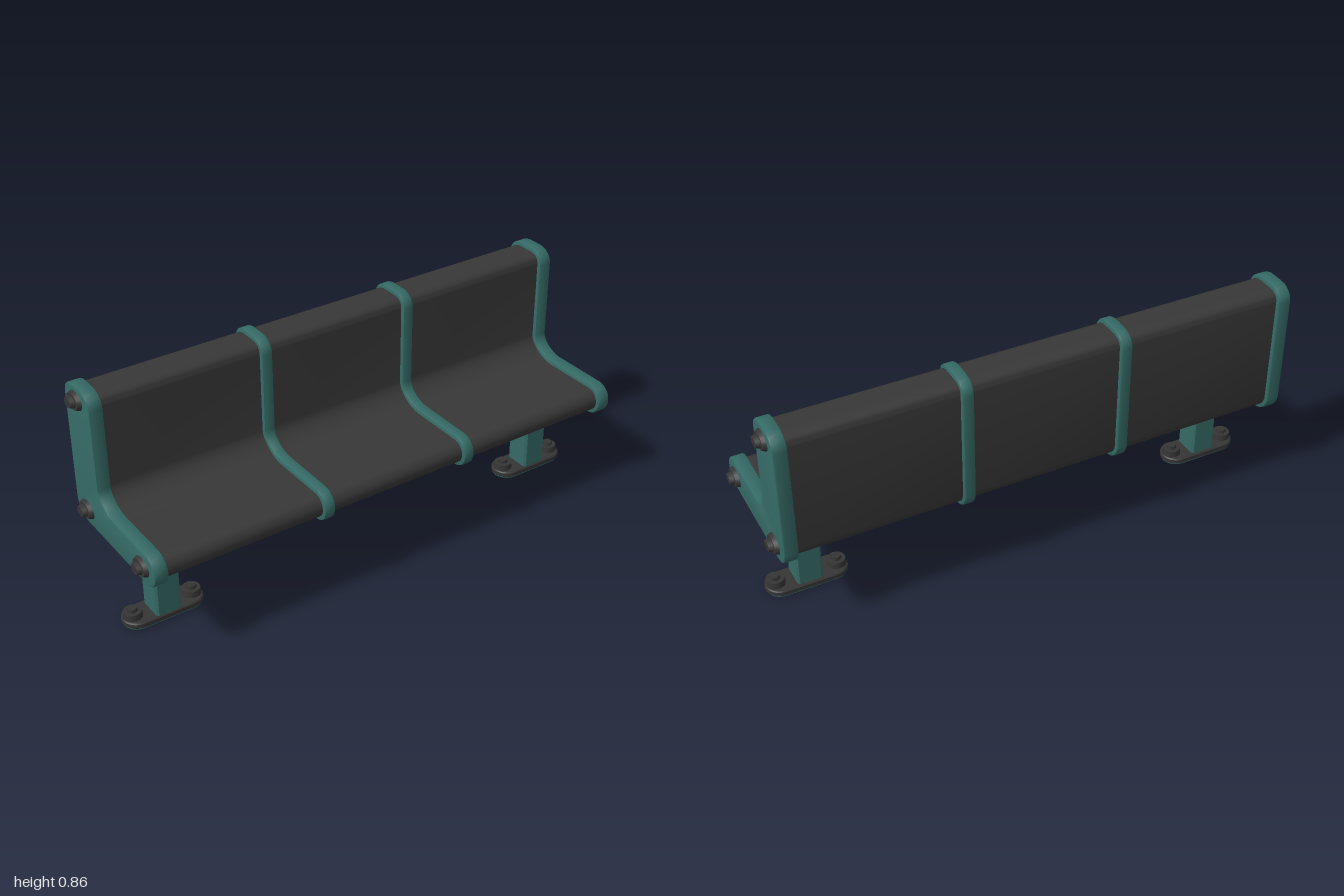
import * as THREE from 'three';
import { toCreasedNormals } from 'three/addons/utils/BufferGeometryUtils.js';

const teal = new THREE.MeshStandardMaterial({ name: 'teal paint', color: 0x356a65 });
const charcoal = new THREE.MeshStandardMaterial({ name: 'charcoal seat', color: 0x383838 });
const iron = new THREE.MeshStandardMaterial({ name: 'dark iron', color: 0x353535 });

function add(parent, name, geometry, material, x = 0, y = 0, z = 0) {
  const mesh = new THREE.Mesh(geometry, material);
  mesh.name = name;
  mesh.position.set(x, y, z);
  parent.add(mesh);
  return mesh;
}

// L-shaped side outline (horizontal axis is -z), shrunk inward by d
function sideProfile(d) {
  const s = new THREE.Shape();
  const bottom = 0.315 + d, seat = 0.435 - d, top = 0.855 - d;
  const back = 0.28 - d, front = 0.1 + d;
  s.moveTo(-0.22, bottom);
  s.lineTo(0.21, bottom);
  s.quadraticCurveTo(back - 0.01, bottom + 0.01, back, 0.385);
  s.lineTo(back, 0.8);
  s.bezierCurveTo(back, 0.83, 0.245, top, 0.215, top);
  s.lineTo(0.165, top);
  s.bezierCurveTo(0.135, top, front, 0.83, front, 0.8);
  s.lineTo(front, 0.5);
  s.bezierCurveTo(front, 0.46, 0.05, seat, 0, seat);
  s.lineTo(-0.22, seat);
  s.absarc(-0.22, 0.375, 0.06 - d, Math.PI / 2, Math.PI * 1.5, false);
  return s;
}

// Extrude the outline along x between x0 and x1
function slab(inset, x0, x1, bevel) {
  const g = new THREE.ExtrudeGeometry(sideProfile(inset + bevel), {
    depth: x1 - x0 - 2 * bevel, curveSegments: 8,
    bevelEnabled: bevel > 0, bevelSize: bevel, bevelThickness: bevel, bevelSegments: 2,
  });
  g.rotateY(Math.PI / 2);
  g.translate(x0 + bevel, 0, 0);
  return toCreasedNormals(g, 0.6);
}

// Flat plate with rounded ends, lying from y = 0 upward
function roundedPlate(halfLength, halfWidth, height, bevel) {
  const r = halfWidth - bevel, c = halfLength - halfWidth;
  const s = new THREE.Shape();
  s.absarc(c, 0, r, -Math.PI / 2, Math.PI / 2, false);
  s.absarc(-c, 0, r, Math.PI / 2, Math.PI * 1.5, false);
  const g = new THREE.ExtrudeGeometry(s, {
    depth: height - 2 * bevel, curveSegments: 8,
    bevelEnabled: bevel > 0, bevelSize: bevel, bevelThickness: bevel, bevelSegments: 1,
  });
  g.rotateX(-Math.PI / 2);
  g.translate(0, bevel, 0);
  return toCreasedNormals(g, 0.6);
}

// Square post with softened corners
function post(width, depth, height) {
  const w = width / 2, d = depth / 2, c = 0.008;
  const s = new THREE.Shape([
    [-w + c, -d], [w - c, -d], [w, -d + c], [w, d - c],
    [w - c, d], [-w + c, d], [-w, d - c], [-w, -d + c],
  ].map(([a, b]) => new THREE.Vector2(a, b)));
  const g = new THREE.ExtrudeGeometry(s, { depth: height, bevelEnabled: false });
  return g.rotateX(-Math.PI / 2);
}

export function createModel() {
  const bench = new THREE.Group();
  bench.name = 'bench';

  // Seat and backrest panels between the frames
  for (const [a, b] of [[-0.93, -0.3], [-0.3, 0.3], [0.3, 0.93]]) {
    add(bench, 'seatPanel', slab(0.016, a, b, 0), charcoal);
  }

  // End frames and intermediate ribs
  for (const [a, b] of [[-0.97, -0.918], [-0.32, -0.277], [0.277, 0.32], [0.918, 0.97]]) {
    add(bench, 'frame', slab(0, a, b, 0.007), teal);
  }

  for (const side of [-1, 1]) {
    // Oval end bolts
    for (const [y, z] of [[0.377, 0.197], [0.377, -0.193], [0.805, -0.193]]) {
      const bolt = new THREE.Group();
      bolt.name = 'endBolt';
      bolt.position.set(side * 0.968, y, z);
      bolt.rotation.z = -side * Math.PI / 2;
      bolt.scale.set(0.72, 1, 1);
      add(bolt, 'washer', new THREE.CylinderGeometry(0.04, 0.048, 0.016, 20), iron, 0, 0.008);
      add(bolt, 'boltHead', new THREE.CylinderGeometry(0.025, 0.029, 0.016, 8), iron, 0, 0.024);
      bench.add(bolt);
    }

    // Leg with mounting tab and bolted foot
    const leg = new THREE.Group();
    leg.name = 'leg';
    leg.position.x = side * 0.818;
    bench.add(leg);
    add(leg, 'post', post(0.096, 0.102, 0.305), teal, 0, 0.02, 0.003);
    add(leg, 'mountingTab', new THREE.BoxGeometry(0.07, 0.035, 0.06), teal, 0, 0.309, 0.076);
    add(leg, 'footPlate', roundedPlate(0.154, 0.058, 0.023, 0.004), iron, 0, 0.003);
    add(leg, 'footUnderside', roundedPlate(0.15, 0.054, 0.004, 0), teal);
    for (const x of [-0.115, 0.115]) {
      add(leg, 'footWasher', new THREE.CylinderGeometry(0.033, 0.036, 0.024, 16), iron, x, 0.037);
      add(leg, 'footBolt', new THREE.CylinderGeometry(0.018, 0.02, 0.014, 6), iron, x, 0.055);
    }
  }
  return bench;
}
